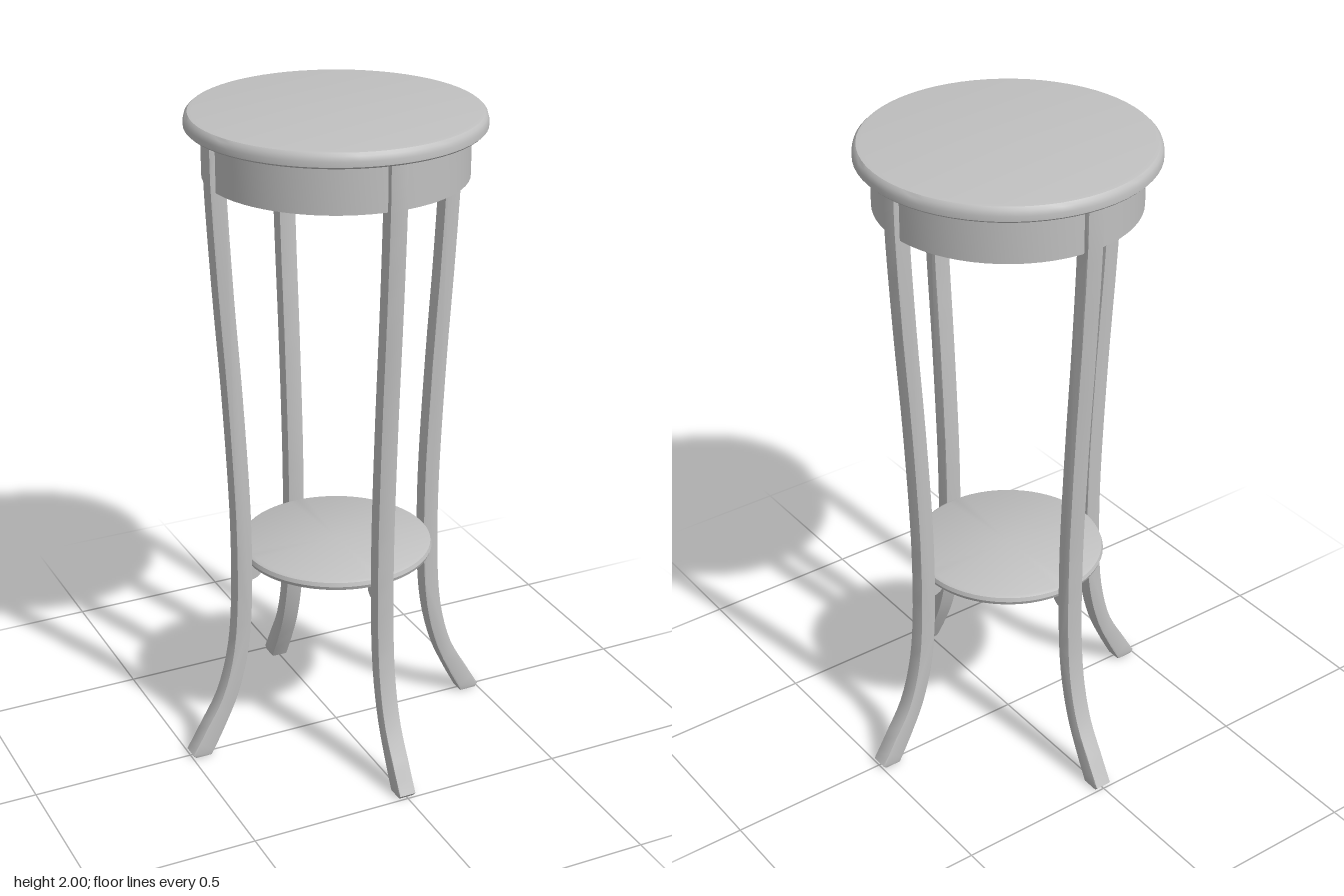
import * as THREE from 'three';
import { toCreasedNormals } from 'three/addons/utils/BufferGeometryUtils.js';

const pts = (list) => list.map(([x, y]) => new THREE.Vector2(x, y));

export function createModel() {
  const table = new THREE.Group();
  table.name = 'plantStand';
  const grey = new THREE.MeshStandardMaterial({ color: 0xc0c0c0 });
  grey.name = 'light grey';

  const add = (name, geometry, parent = table) => {
    const mesh = new THREE.Mesh(geometry, grey);
    mesh.name = name;
    parent.add(mesh);
    return mesh;
  };
  // Turned part from a profile listed bottom to top
  const turned = (name, profile) =>
    add(name, toCreasedNormals(new THREE.LatheGeometry(pts(profile), 64), 0.6));

  // Round top with a softened rim
  turned('tableTop', [[0, 1.955], [0.425, 1.955], [0.43, 1.96], [0.43, 1.975],
    [0.426, 1.99], [0.418, 1.998], [0.405, 2], [0, 2]]);

  // Drum-shaped apron, closed below
  turned('apron', [[0, 1.812], [0.382, 1.812], [0.382, 1.957], [0, 1.957]]);

  // Lower shelf with a rounded edge
  turned('shelf', [[0, 0.617], [0.28, 0.617], [0.289, 0.622], [0.293, 0.633],
    [0.289, 0.645], [0.28, 0.65], [0, 0.65]]);

  // Sabre leg: outer and inner edges as curves, extruded to the leg width
  const bevel = 0.005;
  const outer = new THREE.SplineCurve(pts([[0.5, 0.012], [0.455, 0.09], [0.395, 0.2], [0.358, 0.34],
    [0.343, 0.5], [0.34, 0.7], [0.345, 0.9], [0.36, 1.2], [0.38, 1.5], [0.396, 1.8], [0.398, 1.955]]));
  const inner = new THREE.SplineCurve(pts([[0.347, 1.955], [0.346, 1.8], [0.331, 1.5], [0.311, 1.2],
    [0.295, 0.9], [0.29, 0.7], [0.293, 0.5], [0.308, 0.34], [0.343, 0.2], [0.391, 0.09], [0.438, 0]]));
  const outline = new THREE.Shape([...outer.getPoints(36), ...inner.getPoints(36),
    new THREE.Vector2(0.49, 0)]);
  const width = 0.054;
  const legGeometry = new THREE.ExtrudeGeometry(outline, {
    depth: width - 2 * bevel, bevelEnabled: true, bevelSize: bevel,
    bevelOffset: -bevel, bevelThickness: bevel, bevelSegments: 2,
  }).translate(0, 0, bevel - width / 2);
  const leg = toCreasedNormals(legGeometry, 0.6);

  // Small quarter-round bracket under the shelf
  const bracketShape = new THREE.Shape();
  bracketShape.moveTo(0.3, 0.62);
  bracketShape.lineTo(0.256, 0.62);
  bracketShape.lineTo(0.256, 0.605);
  bracketShape.quadraticCurveTo(0.258, 0.578, 0.3, 0.576);
  const bracket = toCreasedNormals(new THREE.ExtrudeGeometry(bracketShape,
    { depth: 0.036, bevelEnabled: false, curveSegments: 8 }).translate(0, 0, -0.018), 0.6);

  // Four legs on the axes
  ['left', 'back', 'right', 'front'].forEach((side, i) => {
    const group = new THREE.Group();
    group.name = side + 'LegAssembly';
    group.rotation.y = i * Math.PI / 2;
    add(side + 'Leg', leg, group);
    add(side + 'Bracket', bracket, group);
    table.add(group);
  });

  return table;
}
